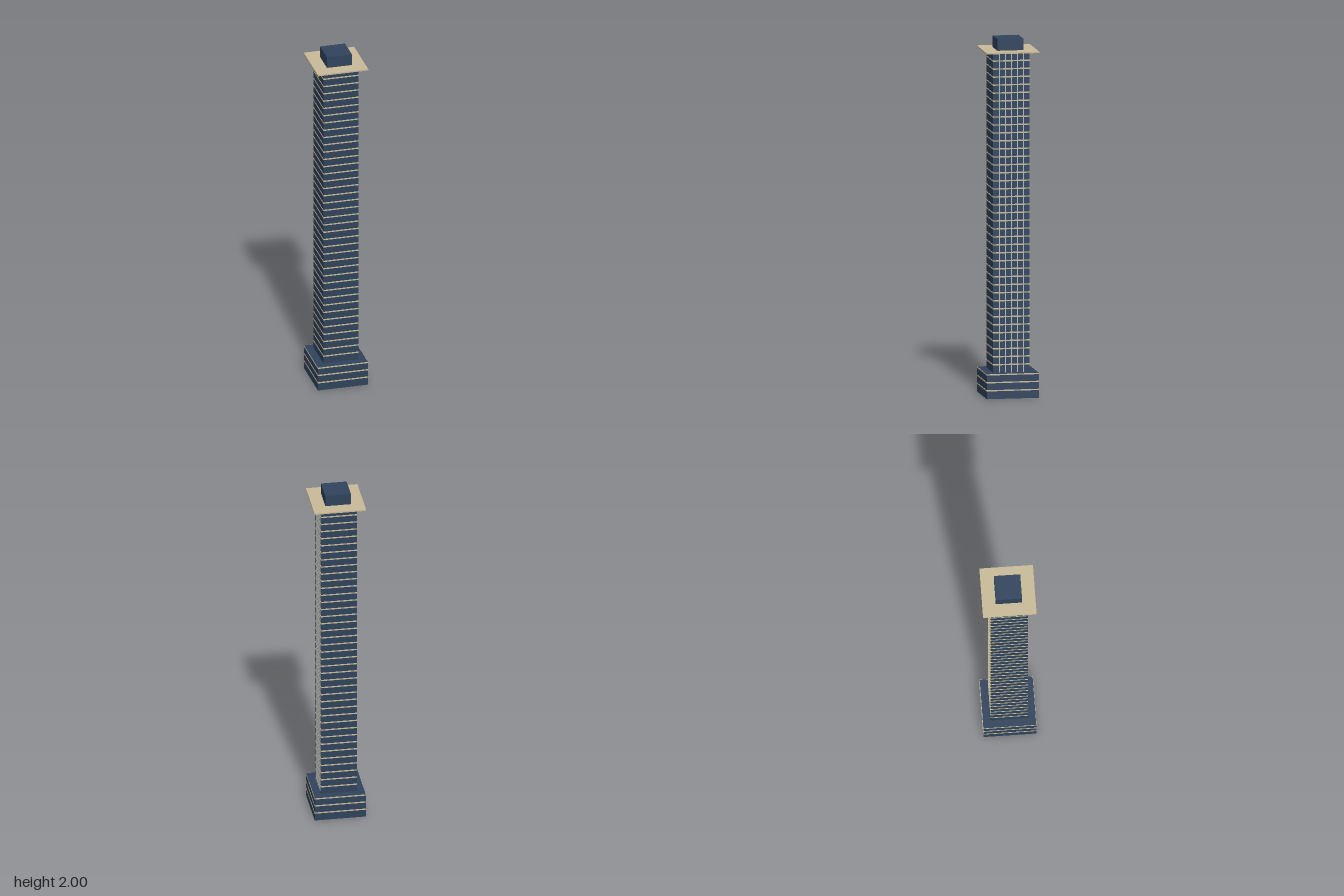
import * as THREE from 'three';

export function createModel() {
  const model = new THREE.Group();
  model.name = 'tower';
  const tower = new THREE.Group();
  tower.name = 'turnedTower';
  tower.rotation.y = THREE.MathUtils.degToRad(-39.3);
  model.add(tower);

  const glass = new THREE.MeshStandardMaterial({ color: 0x2f435c });
  const trim = new THREE.MeshStandardMaterial({ color: 0xc8ba98 });
  const metal = new THREE.MeshStandardMaterial({ color: 0xb4b8b8 });

  // box standing on y0 and reaching y1
  function block(name, material, w, d, y0, y1, x = 0, z = 0) {
    const mesh = new THREE.Mesh(new THREE.BoxGeometry(w, y1 - y0, d), material);
    mesh.position.set(x, (y0 + y1) / 2, z);
    mesh.name = name;
    tower.add(mesh);
  }

  const BASE_TOP = 0.14, ROOF = 1.928;
  const W = 0.199, D = 0.205;       // shaft
  const BW = 0.286, BD = 0.293;     // podium

  // main volumes
  block('podium', glass, BW, BD, 0, BASE_TOP);
  block('shaft', glass, W, D, BASE_TOP, ROOF);
  block('roofSlab', trim, 0.289, 0.297, ROOF, 1.936);
  block('roofHouse', glass, 0.143, 0.146, 1.936, 2);

  // floor bands around the podium and the shaft
  for (const y of [0.047, 0.092, 0.136]) {
    block('podiumBand', trim, BW + 0.003, BD + 0.003, y - 0.0035, y + 0.0035);
  }
  const floors = 40, step = (ROOF - BASE_TOP) / floors;
  for (let i = 1; i < floors; i++) {
    const y = BASE_TOP + i * step;
    block('floorBand', trim, W + 0.003, D + 0.003, y - 0.0035, y + 0.0035);
  }

  // vertical mullions on one face only
  const bays = 6;
  for (let i = 1; i < bays; i++) {
    block('mullion', metal, 0.006, 0.005, BASE_TOP, ROOF, W / 2, D * (i / bays - 0.5));
  }

  return model;
}
